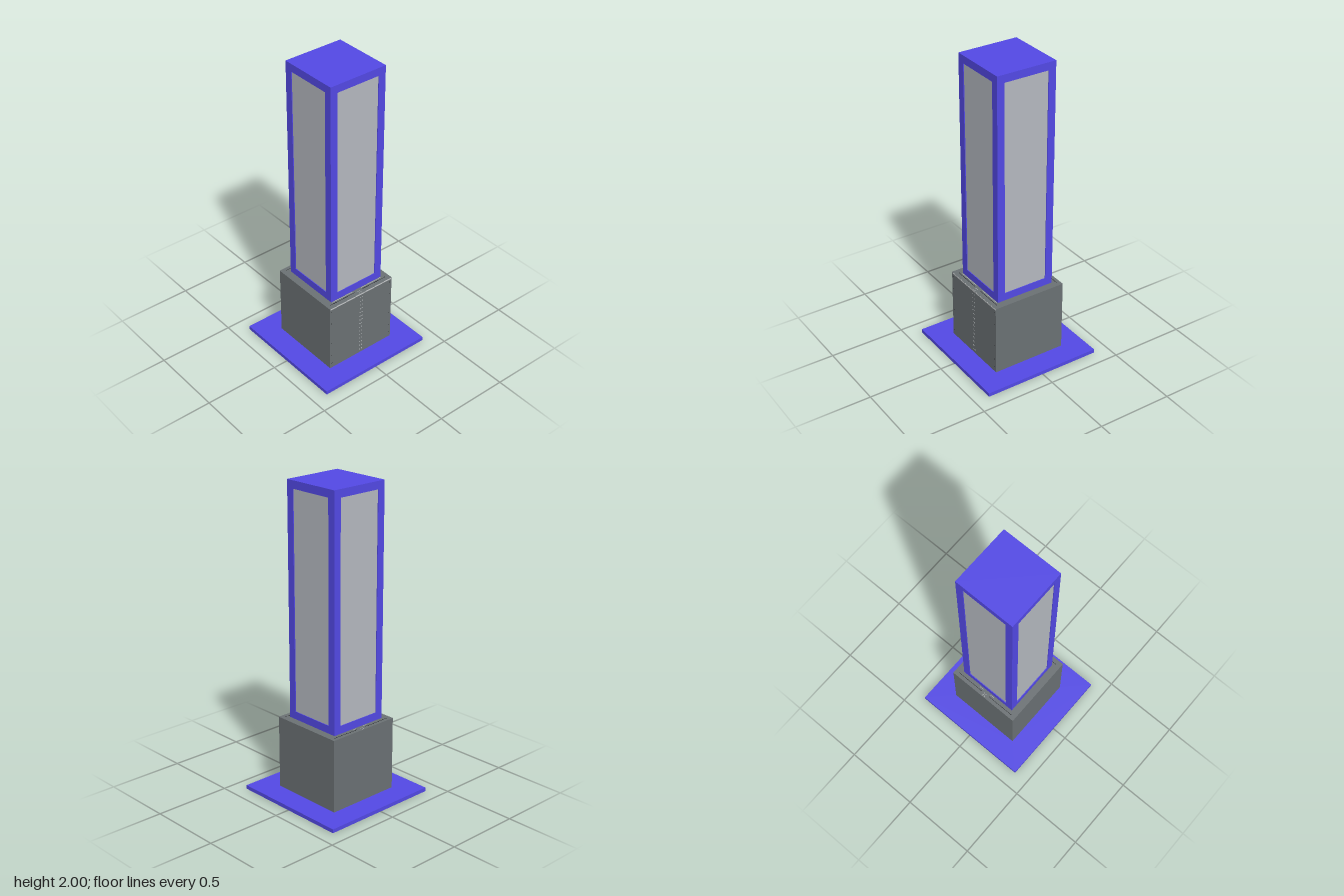
import * as THREE from 'three';

function makeMaterial(name, color) {
  const material = new THREE.MeshStandardMaterial({ color });
  material.name = name;
  return material;
}
const purple = makeMaterial('purple', 0x5349e5);
const panelGrey = makeMaterial('panelGrey', 0xb5b9c0);
const stoneGrey = makeMaterial('stoneGrey', 0x6b7174);
const paleGrey = makeMaterial('paleGrey', 0xc4c7c9);
const black = makeMaterial('black', 0x0c0d0d);
stoneGrey.side = THREE.DoubleSide;

// Rectangle with a centred rectangular hole
function frameShape(w, h, holeW, holeH) {
  const rect = (path, a, b) => {
    path.moveTo(-a / 2, -b / 2);
    path.lineTo(a / 2, -b / 2);
    path.lineTo(a / 2, b / 2);
    path.lineTo(-a / 2, b / 2);
    path.closePath();
    return path;
  };
  const shape = rect(new THREE.Shape(), w, h);
  shape.holes.push(rect(new THREE.Path(), holeW, holeH));
  return shape;
}

function add(parent, name, geometry, material) {
  const mesh = new THREE.Mesh(geometry, material);
  mesh.name = name;
  parent.add(mesh);
  return mesh;
}

// Thin painted plate, centred at x, y, z
function paint(parent, name, material, [w, h, d], [x, y, z]) {
  add(parent, name, new THREE.BoxGeometry(w, h, d), material).position.set(x, y, z);
}

export function createModel() {
  const model = new THREE.Group();
  model.name = 'pillar';

  // Flat base plate, open under the pedestal
  const plate = new THREE.ExtrudeGeometry(frameShape(0.8, 0.8, 0.5, 0.5), { depth: 0.025, bevelEnabled: false });
  add(model, 'basePlate', plate.rotateX(-Math.PI / 2), purple);

  // Hollow pedestal: four thin walls and a top ledge around the tower
  const ledge = new THREE.ShapeGeometry(frameShape(0.5, 0.5, 0.4, 0.4));
  add(model, 'pedestalLedge', ledge.rotateX(-Math.PI / 2).translate(0, 0.5, 0), stoneGrey);

  // Tower frame, recessed panels and pedestal walls on all four sides
  const wall = new THREE.PlaneGeometry(0.499, 0.5).translate(0, 0.25, 0.2495);
  const frame = new THREE.ExtrudeGeometry(frameShape(0.4, 1.5, 0.3, 1.4), { depth: 0.006, bevelEnabled: false })
    .translate(0, 1.25, 0.194);
  const panel = new THREE.PlaneGeometry(0.3, 1.4).translate(0, 1.25, 0.195);
  for (let i = 0; i < 4; i++) {
    const side = new THREE.Group();
    side.name = 'side' + (i + 1);
    side.rotation.y = i * Math.PI / 2;
    add(side, 'pedestalWall', wall, stoneGrey);
    add(side, 'towerFrame', frame, purple);
    add(side, 'towerPanel', panel, panelGrey);
    model.add(side);
  }

  // Closing faces of the tower
  const cap = new THREE.BoxGeometry(0.4, 0.006, 0.4);
  add(model, 'towerTop', cap, purple).position.y = 1.997;
  add(model, 'towerBottom', cap, purple).position.y = 0.503;

  // Pale upper edge along the front of the pedestal
  paint(model, 'frontEdge', paleGrey, [0.49, 0.009, 0.001], [0, 0.4945, 0.2497]);

  for (const x of [-1, 1]) {
    // Dark joints and pale scratches on the ledge
    for (const z of [-0.225, 0.22]) {
      paint(model, 'ledgeJoint', black, [0.19, 0.001, 0.002], [x * 0.125, 0.5003, z]);
    }
    paint(model, 'ledgeScratch', paleGrey, [0.16, 0.001, 0.003], [x * 0.115, 0.5003, 0.206]);
    paint(model, 'ledgeScratch', paleGrey, [0.03, 0.001, 0.002], [x * 0.045, 0.5003, -0.21]);

    // Pale specks down the middle of the front wall
    for (let y = 0.05; y < 0.49; y += 0.03) {
      paint(model, 'wallSpeck', paleGrey, [0.005, 0.008, 0.001], [x * 0.008, y, 0.2497]);
    }
    // Pale specks across the middle of the ledge
    for (const z of [-0.24, -0.225, 0.225, 0.24]) {
      paint(model, 'ledgeSpeck', paleGrey, [0.003, 0.001, 0.008], [x * 0.007, 0.5003, z]);
    }
    // Dark specks near the front corners
    for (const y of [0.06, 0.12, 0.22, 0.38, 0.47]) {
      paint(model, 'cornerSpeck', black, [0.004, 0.004, 0.001], [x * 0.235, y, 0.2497]);
    }
  }

  return model;
}
